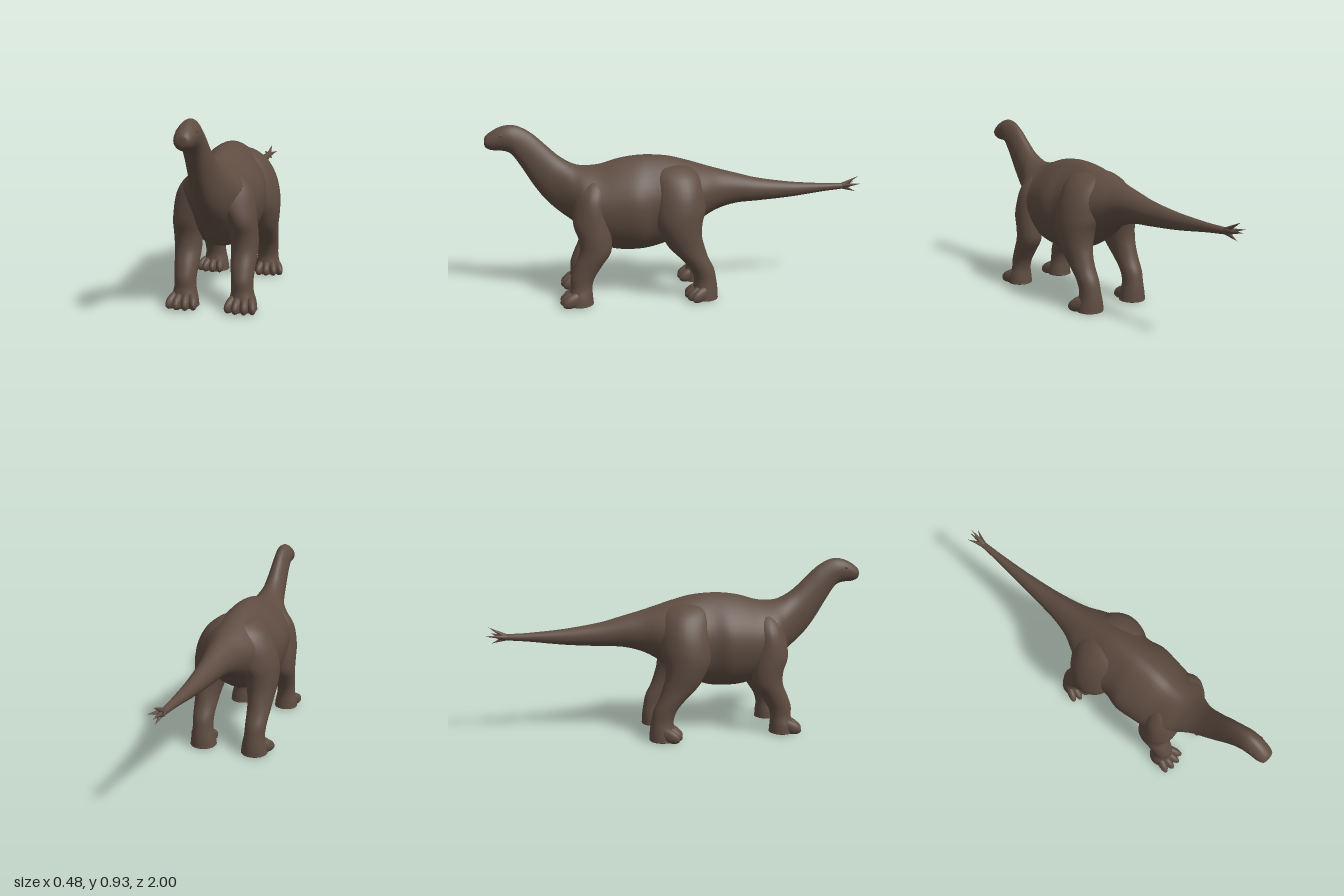
import * as THREE from 'three';

const hide = new THREE.MeshStandardMaterial({ color: 0x5e4c41 });
hide.name = 'brownHide';

// Smooth interpolation of every column of a table of sections
function refine(rows, steps) {
  const out = [];
  const at = (i) => rows[Math.min(Math.max(i, 0), rows.length - 1)];
  for (let i = 0; i < rows.length - 1; i++) {
    for (let s = 0; s < steps; s++) {
      const t = s / steps;
      out.push(rows[i].map((_, c) => {
        const [a, b, d, e] = [at(i - 1)[c], at(i)[c], at(i + 1)[c], at(i + 2)[c]];
        return b + 0.5 * t * (d - a + t * (2 * a - 5 * b + 4 * d - e + t * (3 * (b - d) + e - a)));
      }));
    }
  }
  out.push(rows[rows.length - 1]);
  return out;
}

// Skin a row of rings; place(section, cos, sin) returns a point
function loft(rows, sides, steps, place) {
  const rings = refine(rows, steps);
  const pos = [], index = [];
  rings.forEach((r, i) => {
    for (let j = 0; j < sides; j++) {
      const a = (j / sides) * Math.PI * 2;
      pos.push(...place(r, Math.cos(a), Math.sin(a)));
      if (i === rings.length - 1) continue;
      const p = i * sides + j, q = i * sides + (j + 1) % sides;
      index.push(p, p + sides, q, q, p + sides, q + sides);
    }
  });
  const g = new THREE.BufferGeometry();
  g.setAttribute('position', new THREE.Float32BufferAttribute(pos, 3));
  g.setIndex(index);
  g.computeVertexNormals();
  return g;
}

function add(parent, name, geometry) {
  const m = new THREE.Mesh(geometry, hide);
  m.name = name;
  parent.add(m);
  return m;
}

// Head, neck, trunk and tail: z, top, bottom, half width
const BODY = [
  [1.0, 0.846, 0.844, 0.001], [0.995, 0.872, 0.818, 0.03], [0.965, 0.897, 0.803, 0.043],
  [0.92, 0.92, 0.8, 0.047], [0.87, 0.929, 0.782, 0.05], [0.82, 0.918, 0.71, 0.05],
  [0.76, 0.882, 0.61, 0.054], [0.7, 0.827, 0.53, 0.061], [0.63, 0.763, 0.465, 0.077],
  [0.56, 0.722, 0.41, 0.118], [0.5, 0.711, 0.345, 0.165], [0.42, 0.718, 0.282, 0.18],
  [0.33, 0.744, 0.257, 0.192], [0.24, 0.758, 0.254, 0.2], [0.16, 0.76, 0.262, 0.18],
  [0.06, 0.75, 0.295, 0.182], [-0.04, 0.724, 0.35, 0.172], [-0.12, 0.699, 0.415, 0.136],
  [-0.2, 0.675, 0.458, 0.096], [-0.3, 0.648, 0.485, 0.071], [-0.42, 0.617, 0.493, 0.054],
  [-0.6, 0.59, 0.507, 0.036], [-0.78, 0.576, 0.53, 0.022], [-0.88, 0.573, 0.54, 0.017],
  [-0.93, 0.568, 0.546, 0.012], [-0.94, 0.558, 0.557, 0.001],
];

// Legs, from the top down: y, centre x, centre z, half width, half depth
const FORE = [
  [0.655, 0.06, 0.46, 0.001, 0.001], [0.645, 0.068, 0.46, 0.04, 0.055], [0.61, 0.088, 0.463, 0.062, 0.088],
  [0.56, 0.11, 0.467, 0.072, 0.1], [0.5, 0.123, 0.472, 0.074, 0.101], [0.42, 0.131, 0.473, 0.073, 0.095],
  [0.35, 0.138, 0.46, 0.068, 0.084], [0.28, 0.139, 0.462, 0.065, 0.081], [0.21, 0.138, 0.5, 0.059, 0.072],
  [0.15, 0.139, 0.53, 0.053, 0.063], [0.1, 0.14, 0.538, 0.053, 0.056], [0.055, 0.142, 0.543, 0.063, 0.062],
  [0.02, 0.142, 0.545, 0.067, 0.066], [0.006, 0.142, 0.545, 0.062, 0.062], [0.004, 0.142, 0.545, 0.001, 0.001],
];
const HIND = [
  [0.715, 0.055, 0.03, 0.001, 0.001], [0.7, 0.062, 0.035, 0.042, 0.09], [0.65, 0.088, 0.02, 0.077, 0.128],
  [0.57, 0.117, 0.01, 0.092, 0.14], [0.49, 0.131, 0.015, 0.099, 0.137], [0.42, 0.137, 0.024, 0.098, 0.122],
  [0.35, 0.146, 0.01, 0.083, 0.104], [0.29, 0.15, -0.015, 0.069, 0.093], [0.23, 0.151, -0.055, 0.062, 0.073],
  [0.17, 0.15, -0.095, 0.057, 0.063], [0.11, 0.148, -0.112, 0.056, 0.059], [0.06, 0.147, -0.112, 0.065, 0.066],
  [0.02, 0.147, -0.11, 0.071, 0.07], [0.006, 0.147, -0.11, 0.066, 0.065], [0.004, 0.147, -0.11, 0.001, 0.001],
];

// shift moves the foot sideways, splay turns the toes outward,
// frontTuck sinks the front edge of the upper limb into the trunk as the rear edge does
function addLeg(parent, name, rows, side, { shift, splay, frontTuck }) {
  const leg = new THREE.Group();
  leg.name = name;
  add(leg, 'limb', loft(rows, 32, 4, ([y, cx, cz, rx, rz], c, s) => {
    const tuck = 0.4 * THREE.MathUtils.smoothstep(y, 0.4, 0.56) * s * s * (s > 0 ? 1 : frontTuck);
    return [side * cx * (1 - tuck) + shift * Math.max(0, 1 - y / 0.4) + rx * c, y, cz - rz * s];
  }));
  // Four blunt toes fanned across the front of the foot
  const [, cx, cz] = rows[rows.length - 1];
  for (let i = 0; i < 4; i++) {
    const a = (i - 1.5) * 0.5 + side * splay;
    const toe = add(leg, 'toe', new THREE.SphereGeometry(1, 16, 12));
    toe.scale.set(0.024, 0.036, 0.066);
    toe.rotation.set(0.35, a * 0.5, 0, 'YXZ');
    toe.position.set(side * cx + shift + Math.sin(a) * 0.064, 0.044, cz + Math.cos(a) * 0.043);
  }
  parent.add(leg);
}

export function createModel() {
  const model = new THREE.Group();
  model.name = 'longNeckedDinosaur';

  // The trunk narrows toward the spine; the thin neck and tail stay round
  add(model, 'body', loft(BODY, 40, 4, ([z, top, bottom, w], c, s) => [
    w * c * (1 - 1.9 * w * Math.max(0, s) ** 2),
    (top + bottom) / 2 + s * (top - bottom) / 2,
    z,
  ]));

  for (const side of [1, -1]) {
    const label = side > 0 ? 'left' : 'right';
    addLeg(model, label + 'ForeLeg', FORE, side, { shift: 0.011, splay: 0, frontTuck: 1 });
    addLeg(model, label + 'HindLeg', HIND, side, { shift: 0, splay: 0.3, frontTuck: 0 });
    // Low eye bulges
    const eye = add(model, label + 'Eye', new THREE.SphereGeometry(1, 12, 8));
    eye.scale.set(0.004, 0.007, 0.009);
    eye.position.set(side * 0.044, 0.88, 0.915);
  }

  // Spikes at the tail tip
  const base = new THREE.Vector3(0, 0.557, -0.89);
  const tips = [[0, 0.565, -1], [0.04, 0.572, -0.975], [-0.04, 0.572, -0.975], [0.006, 0.611, -0.983], [0.008, 0.526, -0.97]];
  for (const tip of tips) {
    const dir = new THREE.Vector3(...tip).sub(base);
    const length = dir.length();
    const g = new THREE.ConeGeometry(0.015, length, 12);
    g.translate(0, length / 2, 0);
    const spike = add(model, 'tailSpike', g);
    spike.position.copy(base);
    spike.quaternion.setFromUnitVectors(new THREE.Vector3(0, 1, 0), dir.normalize());
  }
  return model;
}
